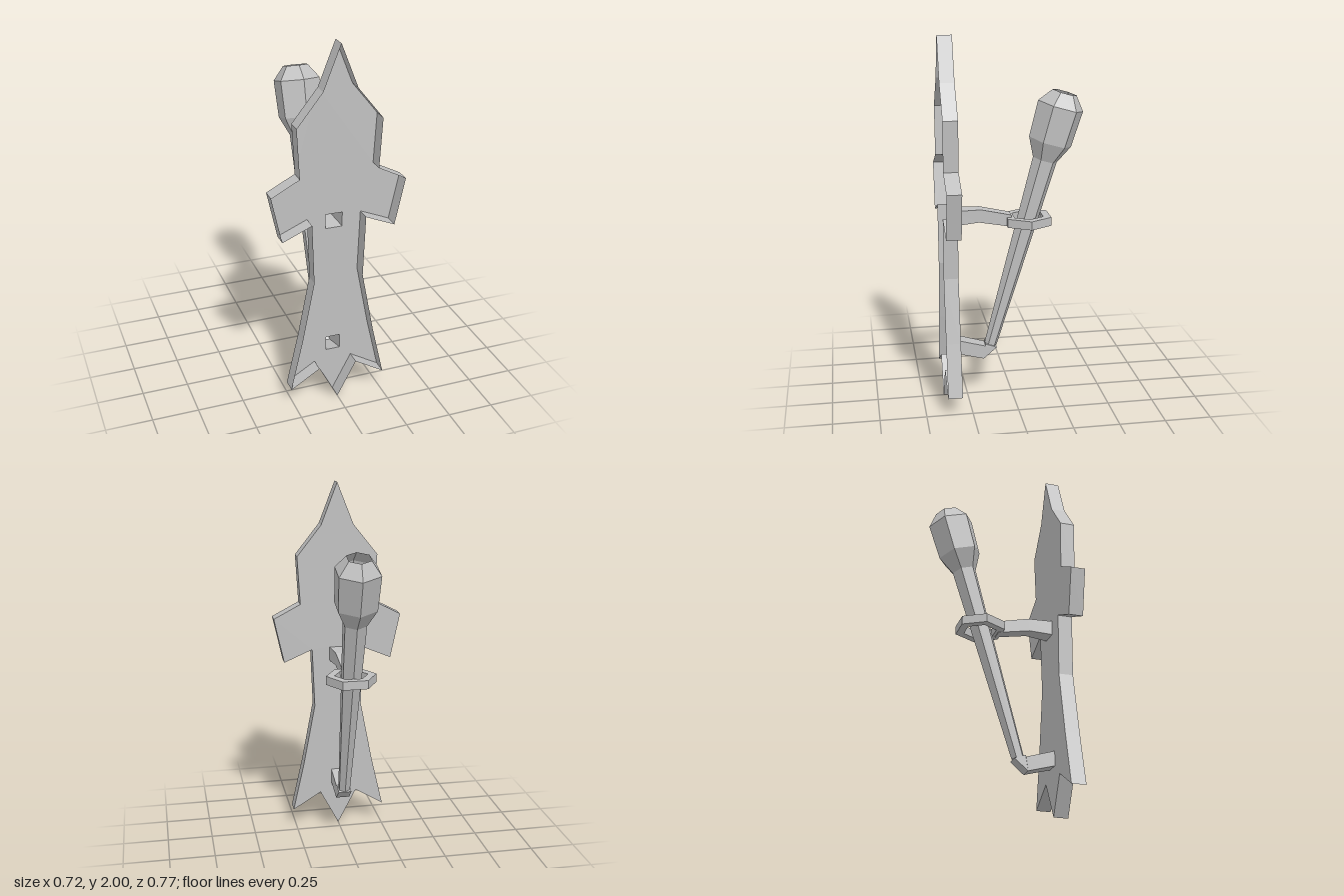
import * as THREE from 'three';

const metal = new THREE.MeshStandardMaterial({ color: 0xc0c0c0, flatShading: true, side: THREE.DoubleSide });
metal.name = 'grey metal';

function add(group, name, geometry) {
  const mesh = new THREE.Mesh(geometry, metal);
  mesh.name = name;
  group.add(mesh);
  return mesh;
}

// Open-ended walls joining a series of matching point loops, front to back
function wallGeometry(loops) {
  const pos = [];
  for (let i = 0; i < loops.length - 1; i++) {
    const [a, b] = [loops[i], loops[i + 1]];
    for (let k = 0; k < a.length; k++) {
      const n = (k + 1) % a.length;
      [a[k], a[n], b[n], a[k], b[n], b[k]].forEach((p) => pos.push(...p));
    }
  }
  const g = new THREE.BufferGeometry();
  g.setAttribute('position', new THREE.Float32BufferAttribute(pos, 3));
  g.computeVertexNormals();
  return g;
}

// Hollow bar through rectangular sections: [half width, top z, top y, bottom z, bottom y]
// The last section shrinks to its centre, closing the far end
function barGeometry(sections) {
  const loops = sections.map(([w, tz, ty, bz, by]) => [
    [-w, ty, tz], [w, ty, tz], [w, by, bz], [-w, by, bz],
  ]);
  const [, tz, ty, bz, by] = sections[sections.length - 1];
  const centre = [0, (ty + by) / 2, (tz + bz) / 2];
  return wallGeometry([...loops, [centre, centre, centre, centre]]);
}

function hexagon(radius) {
  return Array.from({ length: 6 }, (_, i) => new THREE.Vector2(
    radius * Math.cos((i * Math.PI) / 3), radius * Math.sin((i * Math.PI) / 3)));
}

export function createModel() {
  const model = new THREE.Group();
  model.name = 'wallTorch';
  const backZ = 0.305, frontZ = 0.384;

  // Pointed plate outline, one half mirrored
  const half = [
    [0, 2], [0.09, 1.77], [0.225, 1.6], [0.21, 1.333], [0.36, 1.255], [0.305, 1.002],
    [0.146, 1.07], [0.134, 0.735], [0.2, 0.39], [0.265, 0.102], [0.105, 0.2], [0, 0],
  ];
  const outline = [...half, ...half.slice(1, -1).reverse().map(([x, y]) => [-x, y])];

  // Brackets, open at the plate
  const brackets = {
    upperBracket: [
      [0.046, backZ, 1.08, backZ, 1.0],
      [0.036, 0.17, 1.08, 0.18, 1.01],
      [0.034, 0.005, 1.043, 0.005, 0.978],
    ],
    lowerBracket: [
      [0.04, backZ, 0.34, backZ, 0.26],
      [0.038, 0.15, 0.295, 0.16, 0.221],
      [0.036, 0.148, 0.305, 0.087, 0.283],
    ],
  };

  // Shallow tray-like plate: open front, rim, and back with bracket openings
  const backShape = new THREE.Shape(outline.map(([x, y]) => new THREE.Vector2(x, y)));
  for (const [name, sections] of Object.entries(brackets)) {
    add(model, name, barGeometry(sections));
    const [w, , top, , bottom] = sections[0];
    backShape.holes.push(new THREE.Path([[-w, top], [-w, bottom], [w, bottom], [w, top]]
      .map(([x, y]) => new THREE.Vector2(x, y))));
  }
  add(model, 'plateBack', new THREE.ShapeGeometry(backShape)).position.z = backZ;
  add(model, 'plateRim', wallGeometry([frontZ, backZ].map((z) => outline.map(([x, y]) => [x, y, z]))));

  // Hexagonal holding ring
  const ringShape = new THREE.Shape(hexagon(0.136));
  ringShape.holes.push(new THREE.Path(hexagon(0.09).reverse()));
  const ringGeometry = new THREE.ExtrudeGeometry(ringShape, { depth: 0.047, bevelEnabled: false });
  ringGeometry.rotateX(-Math.PI / 2);
  add(model, 'holdingRing', ringGeometry).position.set(0, 0.983, -0.089);

  // Leaning torch: tapered six-sided handle and hollow head
  const torch = new THREE.Group();
  torch.name = 'torch';
  torch.position.set(0, 0.295, 0.117);
  torch.rotation.x = -0.28;
  const lathe = (points) => new THREE.LatheGeometry(points.map(([r, y]) => new THREE.Vector2(r, y)), 6);
  add(torch, 'torchHandle', lathe([[0.035, 0], [0.067, 1.08]]));
  add(torch, 'torchHead', lathe([[0.067, 1.08], [0.118, 1.18], [0.126, 1.378], [0.067, 1.452]]));
  model.add(torch);

  return model;
}
